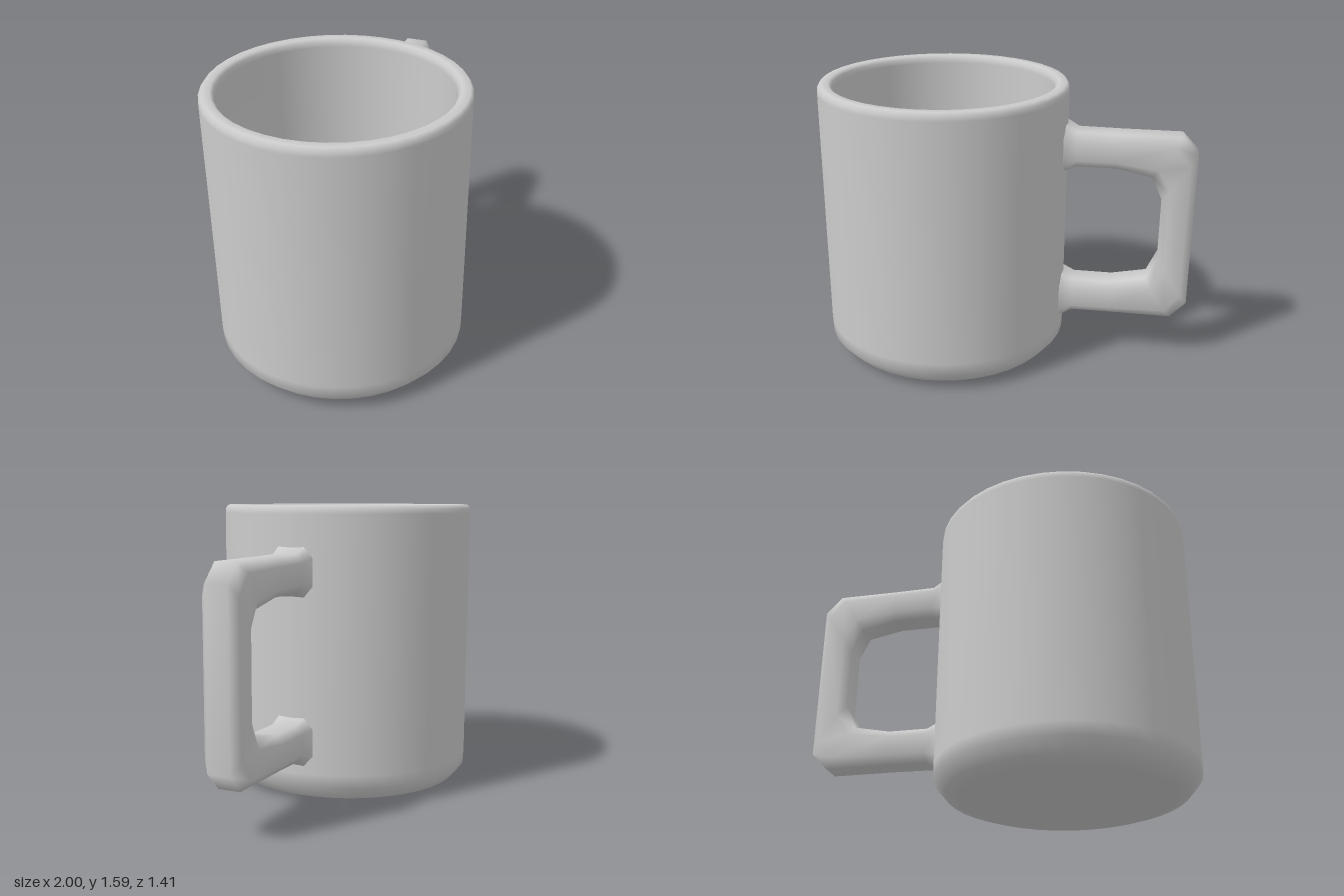
import * as THREE from 'three';

const material = new THREE.MeshStandardMaterial({ color: 0xcccccc });

// Cup: one closed profile, outside bottom -> rim -> inside floor
function createCup() {
  const profile = [
    [0, 0], [0.5, 0], [0.57, 0.006], [0.64, 0.03], [0.7, 0.1], [0.702, 0.17],
    [0.702, 1.54], [0.7, 1.565], [0.685, 1.585], [0.64, 1.585], [0.624, 1.568],
    [0.62, 1.54], [0.62, 0.24], [0.605, 0.16], [0.56, 0.115], [0.5, 0.1], [0, 0.1],
  ].map(([r, y]) => new THREE.Vector2(r, y));
  const cup = new THREE.Mesh(new THREE.LatheGeometry(profile, 40), material);
  cup.name = 'cup';
  return cup;
}

// Handle: a bevelled section swept through stations, mirrored top to bottom
function createHandle() {
  const midY = 0.793;
  // outer r, outer y, inner r, inner y, half width
  const upper = [
    [0.65, 1.4, 0.65, 1.09, 0.13],
    [0.7, 1.37, 0.7, 1.115, 0.12],
    [0.76, 1.338, 0.76, 1.14, 0.1],
    [0.98, 1.335, 0.98, 1.14, 0.1],
    [1.33, 1.335, 1.18, 1.1, 0.1],
    [1.42, 1.24, 1.24, 0.97, 0.1],
  ];
  const lower = upper.map(([a, b, c, d, w]) => [a, 2 * midY - b, c, 2 * midY - d, w]).reverse();
  const stations = [...upper, ...lower];

  // t runs from outer to inner edge, s across the width
  const section = [
    [0, 0.62], [0.22, 1], [0.78, 1], [1, 0.62],
    [1, -0.62], [0.78, -1], [0.22, -1], [0, -0.62],
  ];
  const n = section.length;
  const positions = [];
  const indices = [];
  stations.forEach(([ro, yo, ri, yi, w], i) => {
    section.forEach(([t, s], j) => {
      positions.push(ro + (ri - ro) * t, yo + (yi - yo) * t, s * w);
      if (i === stations.length - 1) return;
      const a = i * n + j;
      const b = i * n + ((j + 1) % n);
      indices.push(a, b, a + n, b, b + n, a + n);
    });
  });
  const geometry = new THREE.BufferGeometry();
  geometry.setAttribute('position', new THREE.Float32BufferAttribute(positions, 3));
  geometry.setIndex(indices);
  geometry.computeVertexNormals();

  const handle = new THREE.Mesh(geometry, material);
  handle.name = 'handle';
  handle.rotation.y = THREE.MathUtils.degToRad(26.8);
  return handle;
}

export function createModel() {
  const mug = new THREE.Group();
  mug.name = 'mug';
  mug.add(createCup(), createHandle());
  mug.position.x = -0.298;
  const model = new THREE.Group();
  model.add(mug);
  return model;
}
